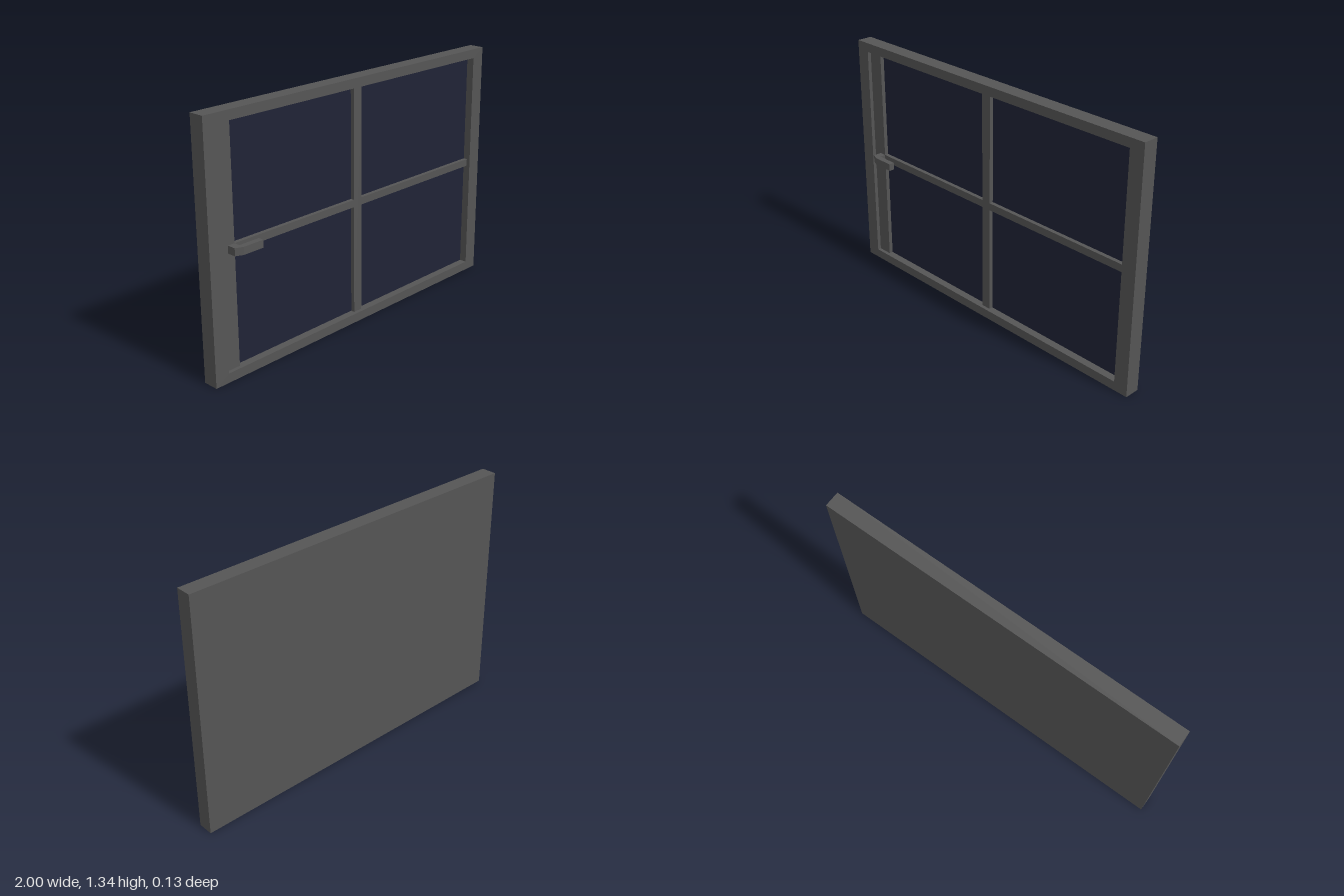
import * as THREE from 'three';

export function createModel() {
  const group = new THREE.Group();
  const frameMat = new THREE.MeshStandardMaterial({ color: 0x555555 });
  const glassMat = new THREE.MeshStandardMaterial({ color: 0x1f2336 });

  const add = (name, geometry, material = frameMat) => {
    const mesh = new THREE.Mesh(geometry, material);
    mesh.name = name;
    group.add(mesh);
    return mesh;
  };
  // Box given by its lower and upper limits on each axis
  const block = (name, [x0, x1], [y0, y1], [z0, z1], material) =>
    add(name, new THREE.BoxGeometry(x1 - x0, y1 - y0, z1 - z0), material)
      .position.set((x0 + x1) / 2, (y0 + y1) / 2, (z0 + z1) / 2);
  const rectangle = (x0, x1, y0, y1) =>
    [[x0, y0], [x1, y0], [x1, y1], [x0, y1]].map(([x, y]) => new THREE.Vector2(x, y));

  const back = -0.065, front = 0.02, barFront = 0, glassFront = -0.022;
  const openX = [-0.92, 0.92], openY = [0.05, 1.285];

  // Outer frame with one rectangular opening
  const outline = new THREE.Shape(rectangle(-1, 1, 0, 1.335));
  outline.holes.push(new THREE.Path(rectangle(...openX, ...openY)));
  add('outerFrame', new THREE.ExtrudeGeometry(outline, { depth: front - back, bevelEnabled: false }))
    .position.z = back;

  // Closed back and glass set into the opening
  block('backPanel', openX, openY, [back, -0.04]);
  block('glass', openX, openY, [-0.04, glassFront], glassMat);

  // Stile behind the handle and the glazing bars
  const barZ = [glassFront, barFront];
  block('handleStile', [-0.92, -0.835], openY, barZ);
  block('verticalBar', [-0.03, 0.025], openY, barZ);
  block('horizontalBarRight', [-0.835, -0.03], [0.65, 0.69], barZ);
  block('horizontalBarLeft', [0.025, 0.92], [0.65, 0.69], barZ);

  // Lever handle: profile in x and z, extruded downwards
  const lever = new THREE.Shape([
    [-0.875, 0], [-0.835, 0], [-0.835, 0.034], [-0.715, 0.034],
    [-0.715, 0.065], [-0.835, 0.065], [-0.875, 0.048],
  ].map(([x, z]) => new THREE.Vector2(x, z)));
  const leverGeometry = new THREE.ExtrudeGeometry(lever, { depth: 0.04, bevelEnabled: false });
  leverGeometry.rotateX(Math.PI / 2);
  add('handle', leverGeometry).position.y = 0.69;

  return group;
}
